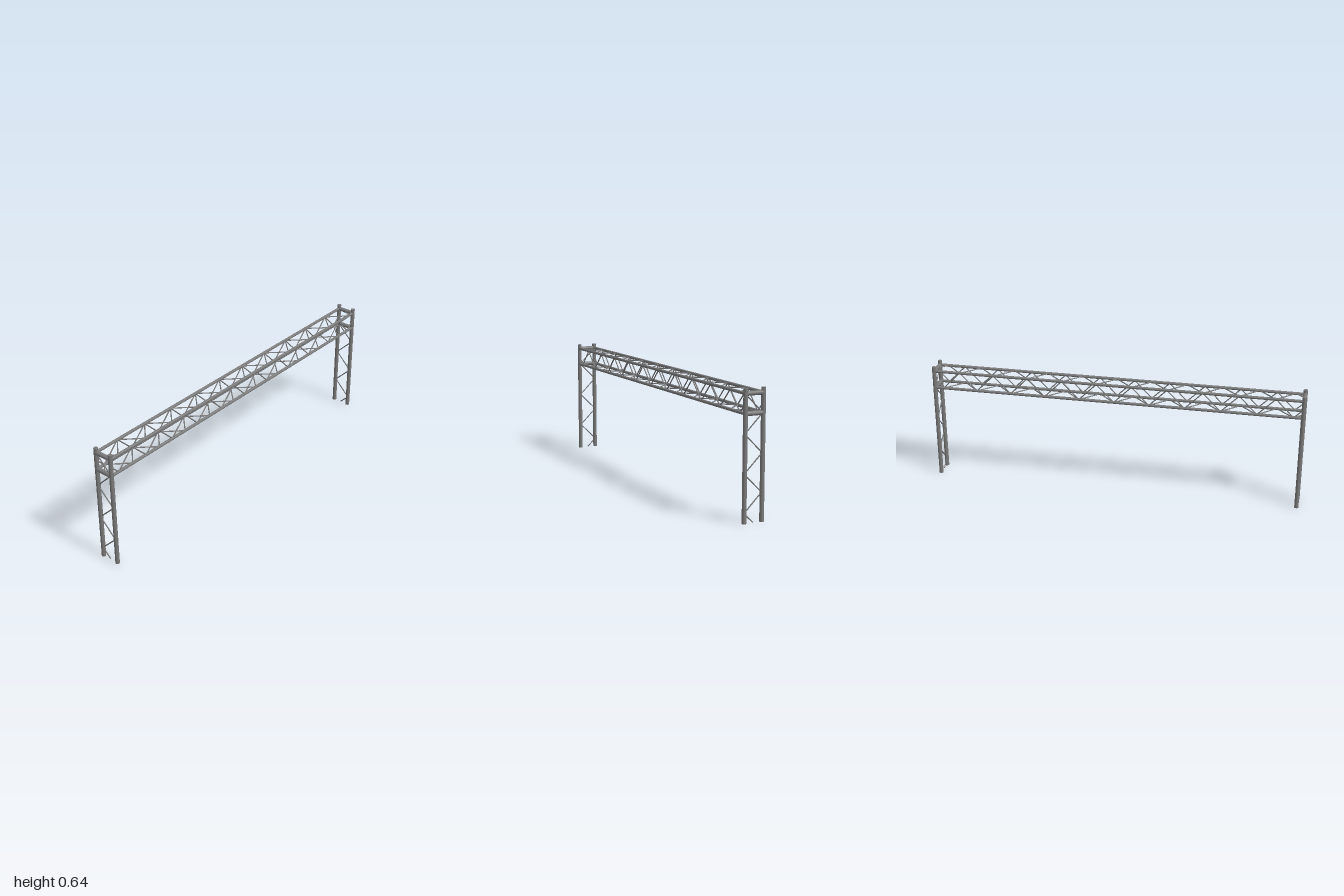
import * as THREE from 'three';

const steel = new THREE.MeshStandardMaterial({ color: 0x7a7a7a });
steel.name = 'steel grey';

const R = 0.0112;      // leg and cross bar radius
const C = 0.0078;      // chord radius
const r = 0.0031;      // lattice rod radius
const X = 0.9888;      // leg axis
const Z = 0.0475;      // half depth between tube axes
const H = 0.637;       // leg height
const P = 0.094;       // lattice pitch
const LOW = 0.5185, HIGH = 0.6125; // chord heights
const MID = (LOW + HIGH) / 2;

const V = (x, y, z) => new THREE.Vector3(x, y, z);

// Round bar between two points
function bar(parent, name, a, b, radius, sides) {
  const dir = b.clone().sub(a);
  const mesh = new THREE.Mesh(new THREE.CylinderGeometry(radius, radius, dir.length(), sides), steel);
  mesh.name = name;
  mesh.position.copy(a).add(b).multiplyScalar(0.5);
  mesh.quaternion.setFromUnitVectors(V(0, 1, 0), dir.normalize());
  parent.add(mesh);
}

function namedGroup(parent, name) {
  const group = new THREE.Group();
  group.name = name;
  parent.add(group);
  return group;
}

// Beam lattice: nodes from f(x, s) with s = 1 or -1, and 0 at the two ends
function beamLattice(parent, name, f) {
  const group = namedGroup(parent, name);
  const points = [f(-X, 0)];
  for (let k = -10; k <= 10; k++) points.push(f(k * P, k % 2 === 0 ? 1 : -1));
  points.push(f(X, 0));
  for (let i = 1; i < points.length; i++) bar(group, 'latticeRod', points[i - 1], points[i], r, 8);
}

// Tower lattice: a half rod at the foot, then crossing rods lifted or lowered in turn
function towerLattice(parent, side) {
  const group = namedGroup(parent, 'towerLattice');
  bar(group, 'latticeRod', V(side * X, 0.0022, 0), V(side * X, P / 2 + 0.001, side * Z), r, 8);
  for (let k = 1; k <= 6; k++) {
    const odd = k % 2 === 1;
    const y = k * P + (odd ? 0.0038 : -0.0018);
    const z = odd ? side * Z : -side * Z;
    bar(group, 'latticeRod', V(side * X, y - P / 2, z), V(side * X, y + P / 2, -z), r, 8);
  }
}

export function createModel() {
  const model = new THREE.Group();
  model.name = 'trussGantry';

  // End towers: two legs, two cross bars and a lattice
  for (const side of [1, -1]) {
    const tower = namedGroup(model, side > 0 ? 'leftTower' : 'rightTower');
    for (const s of [1, -1]) bar(tower, 'leg', V(side * X, 0, s * Z), V(side * X, H, s * Z), R, 24);
    for (const y of [LOW, HIGH]) bar(tower, 'crossBar', V(side * X, y, -Z), V(side * X, y, Z), R, 24);
    towerLattice(tower, side);
  }

  // Beam: four chords with a lattice on each face
  const beam = namedGroup(model, 'beam');
  for (const z of [Z, -Z]) {
    for (const y of [LOW, HIGH]) bar(beam, 'chord', V(-X, y, z), V(X, y, z), C, 20);
    beamLattice(beam, z > 0 ? 'frontLattice' : 'backLattice', (x, s) => V(x, MID - s * P / 2, z));
  }
  beamLattice(beam, 'topLattice', (x, s) => V(x, HIGH, s * Z));
  beamLattice(beam, 'bottomLattice', (x, s) => V(x, LOW, -s * Z));

  return model;
}
